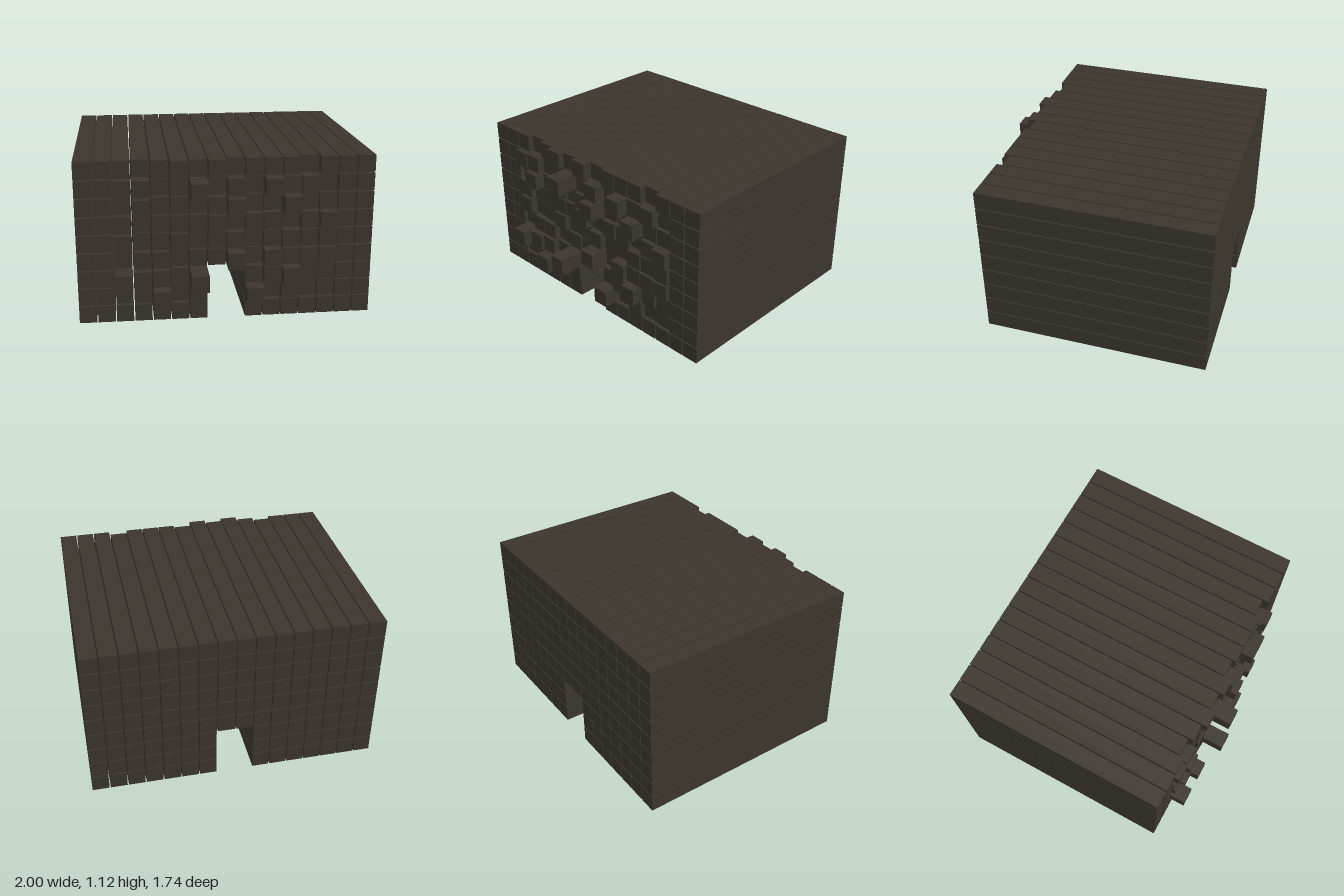
import * as THREE from 'three';

const COLS = 16, ROWS = 9;
const SIZE = 0.117, PITCH = (2 - SIZE) / (COLS - 1);
const BACK = -0.87, FRONT = 0.705;

// Beams that clearly stick out or sit back: 'column,row' -> offset from the front plane
const OFFSETS = {
  '4,1': 0.105, '9,1': 0.1,
  '2,2': 0.11, '3,2': 0.05, '4,2': 0.03, '6,2': 0.165, '10,2': 0.04, '11,2': 0.08,
  '8,3': 0.1, '10,3': 0.05, '12,3': 0.025, '13,3': 0.03,
  '7,5': 0.035, '13,5': 0.045,
  '3,6': 0.06, '8,6': 0.095, '11,6': 0.08,
  '2,7': 0.035, '3,7': 0.03, '6,7': 0.16, '8,7': 0.05, '10,7': 0.085,
  '3,8': -0.035, '5,8': 0.04, '7,8': 0.035, '8,8': -0.025, '12,8': -0.04,
};

// Small seeded generator for the slight unevenness of the other beams
function seeded(seed) {
  return () => {
    seed = (seed * 1664525 + 1013904223) % 4294967296;
    return seed / 4294967296;
  };
}

export function createModel() {
  const model = new THREE.Group();
  model.name = 'beamStack';
  const material = new THREE.MeshStandardMaterial({ color: 0x3b352c });
  const random = seeded(11);

  for (let row = 0; row < ROWS; row++) {
    const layer = new THREE.Group();
    layer.name = `beamLayer${row + 1}`;
    for (let col = 0; col < COLS; col++) {
      // Passage running through the lower three layers
      if (row < 3 && (col === 7 || col === 8)) continue;

      // The outer beams and the bottom and top layers stay flush
      const uneven = col > 1 && col < 14 && row > 0 && row < ROWS - 1;
      const jitter = uneven ? -0.03 + 0.055 * random() : 0;
      const front = FRONT + (OFFSETS[`${col},${row}`] ?? jitter);

      const beam = new THREE.Mesh(new THREE.BoxGeometry(SIZE, SIZE, front - BACK), material);
      beam.name = `beam${row + 1}_${col + 1}`;
      beam.position.set(-1 + SIZE / 2 + col * PITCH, SIZE / 2 + row * PITCH, (front + BACK) / 2);
      layer.add(beam);
    }
    model.add(layer);
  }
  return model;
}
